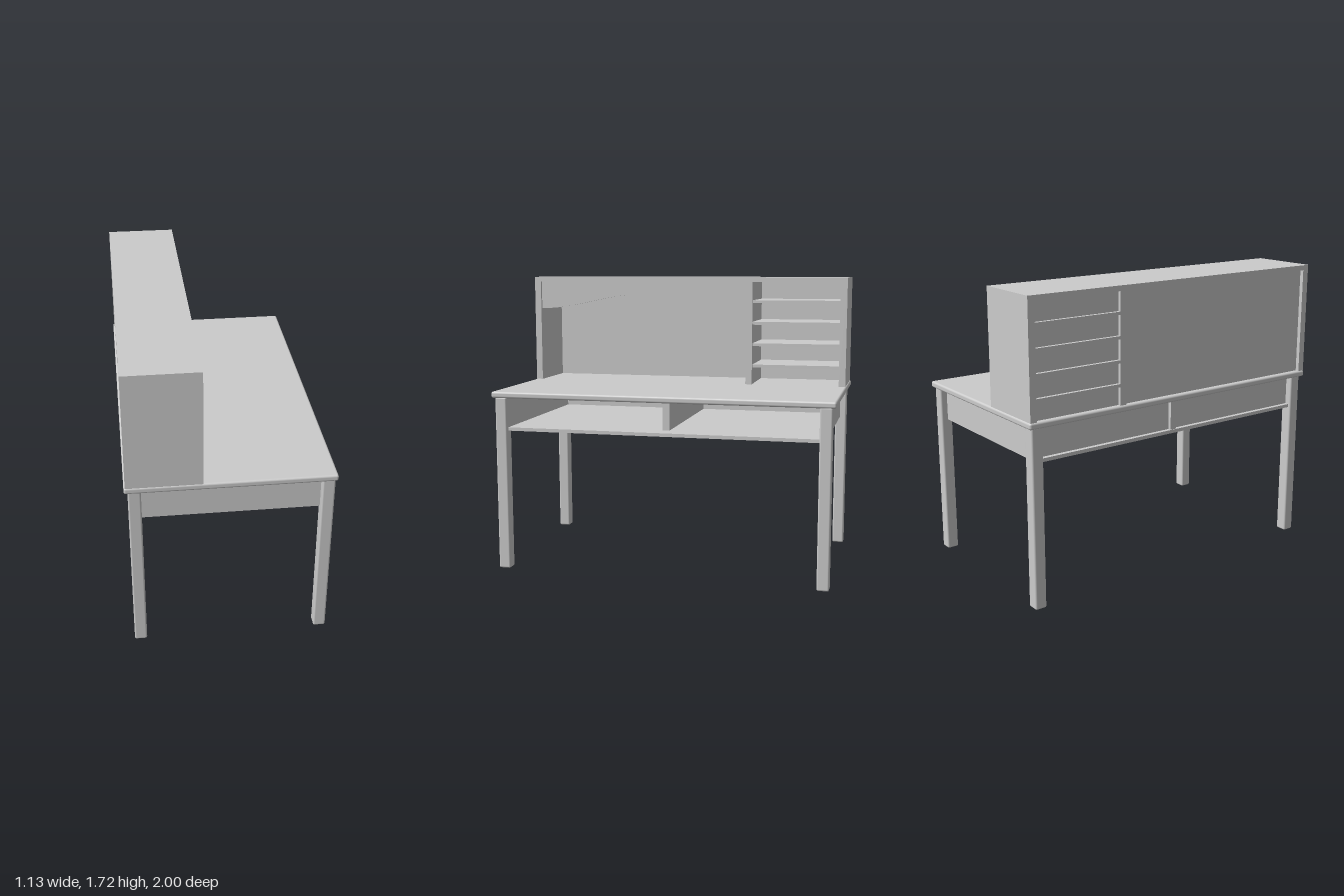
import * as THREE from 'three';
import { RoundedBoxGeometry } from 'three/addons/geometries/RoundedBoxGeometry.js';

export function createModel() {
  const desk = new THREE.Group();
  desk.name = 'deskWithHutch';
  const material = new THREE.MeshStandardMaterial({ color: 0xcccccc });

  const add = (name, geometry, parent) => {
    const mesh = new THREE.Mesh(geometry, material);
    mesh.name = name;
    parent.add(mesh);
    return mesh;
  };

  // Box given by its extents on each axis; radius rounds the edges
  const slab = (parent, name, [x0, x1], [y0, y1], [z0, z1], radius = 0) => {
    const size = [x1 - x0, y1 - y0, z1 - z0];
    const geometry = radius ? new RoundedBoxGeometry(...size, 3, radius) : new THREE.BoxGeometry(...size);
    add(name, geometry, parent).position.set((x0 + x1) / 2, (y0 + y1) / 2, (z0 + z1) / 2);
  };

  // Table: rounded top on four legs
  const table = new THREE.Group();
  table.name = 'table';
  desk.add(table);
  slab(table, 'tableTop', [-0.57, 0.565], [1.025, 1.062], [-1, 1], 0.012);
  for (const x of [-0.515, 0.52]) {
    for (const z of [-0.945, 0.945]) {
      slab(table, 'leg', [x - 0.035, x + 0.035], [0, 1.03], [z - 0.035, z + 0.035], 0.01);
    }
  }

  // Open compartment under the top
  slab(table, 'lowerShelf', [-0.535, 0.53], [0.83, 0.85], [-0.91, 0.91]);
  slab(table, 'lowerBackPanel', [-0.51, -0.495], [0.85, 1.026], [-0.91, 0.91]);
  slab(table, 'lowerDivider', [-0.53, 0.43], [0.85, 1.026], [-0.04, 0]);
  for (const s of [-1, 1]) {
    const z = s * 0.925;
    slab(table, 'sideApron', [-0.49, 0.495], [0.83, 1.026], [z - 0.015, z + 0.015]);
  }

  // Hutch: carcass along the rear edge of the top
  const hutch = new THREE.Group();
  hutch.name = 'hutch';
  desk.add(hutch);
  const depth = [-0.563, -0.153];
  slab(hutch, 'hutchTop', depth, [1.69, 1.72], [-0.993, 0.997]);
  slab(hutch, 'hutchSide', depth, [1.06, 1.69], [0.957, 0.997]);
  slab(hutch, 'hutchSide', depth, [1.06, 1.69], [-0.993, -0.953]);
  slab(hutch, 'hutchBack', [-0.54, -0.527], [1.06, 1.69], [-0.953, 0.957]);
  slab(hutch, 'hutchDivider', [-0.56, -0.157], [1.06, 1.69], [-0.418, -0.378]);

  // Letter shelves
  for (let i = 0; i < 4; i++) {
    const y = 1.166 + i * 0.132;
    slab(hutch, 'letterShelf', [-0.56, -0.175], [y, y + 0.018], [-0.953, -0.418]);
  }

  // Valance with a wavy lower edge, drawn in (-z, y) and extruded along x
  const z0 = -0.957, z1 = 0.378;
  const shape = new THREE.Shape();
  shape.moveTo(z0, 1.69);
  shape.lineTo(z0, 1.52);
  const steps = 32;
  for (let i = 1; i <= steps; i++) {
    const t = i / steps;
    shape.lineTo(z0 + (z1 - z0) * t, 1.52 + 0.046 * (1 - Math.cos(2 * Math.PI * t)));
  }
  shape.lineTo(z1, 1.69);
  shape.closePath();
  const valance = add('archedValance', new THREE.ExtrudeGeometry(shape, { depth: 0.02, bevelEnabled: false }), hutch);
  valance.rotation.y = Math.PI / 2;
  valance.position.x = -0.19;

  return desk;
}
